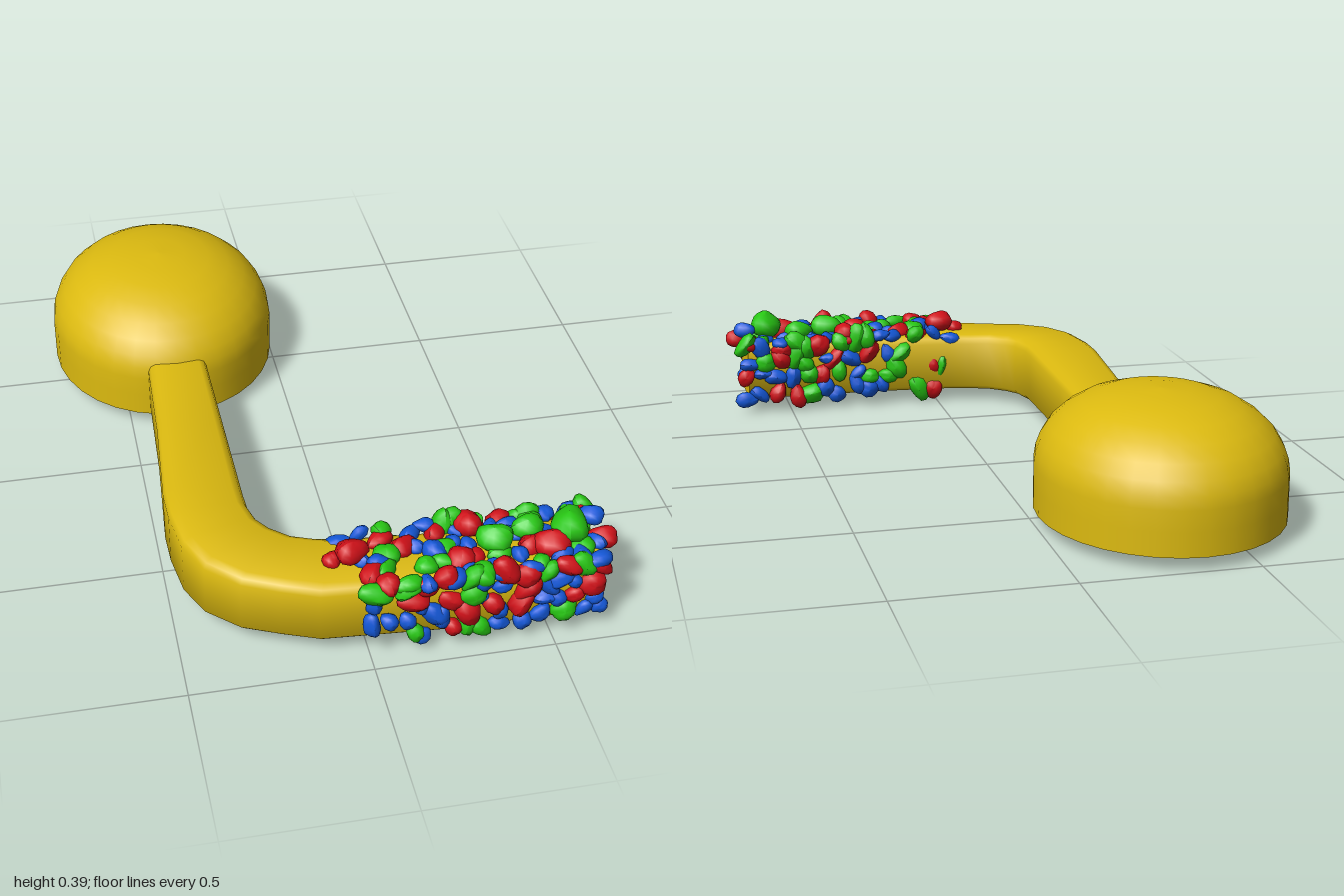
import * as THREE from 'three';
import { toCreasedNormals } from 'three/addons/utils/BufferGeometryUtils.js';

const material = (color, side = THREE.FrontSide) => new THREE.MeshStandardMaterial({ color, side });

// small seeded generator
let seed = 7;
const rand = () => (seed = (seed * 16807) % 2147483647) / 2147483647;
const range = (a, b) => a + (b - a) * rand();

// Arm stations: outer edge x, z then inner edge x, z, then top height
const STATIONS = [
  [-0.44, -0.22, -0.26, -0.22, 0.2], [-0.455, 0.1, -0.26, 0.1, 0.207],
  [-0.48, 0.42, -0.26, 0.46, 0.216], [-0.478, 0.52, -0.258, 0.52, 0.218],
  [-0.46, 0.65, -0.24, 0.59, 0.218], [-0.415, 0.75, -0.21, 0.63, 0.216],
  [-0.33, 0.83, -0.16, 0.67, 0.213], [-0.23, 0.875, -0.1, 0.69, 0.21],
  [-0.13, 0.915, -0.03, 0.705, 0.21], [0.2, 0.94, 0.2, 0.725, 0.21],
  [0.64, 0.945, 0.64, 0.735, 0.21],
];

// Rounded box section swept along the stations
function armGeometry() {
  const section = [[0.06, 0], [0, 0.07], [0, 0.86], [0.04, 0.95], [0.13, 1],
    [0.87, 1], [0.96, 0.95], [1, 0.86], [1, 0.07], [0.94, 0]];
  const n = section.length, pos = [], index = [];
  for (const [ox, oz, ix, iz, top] of STATIONS) {
    for (const [u, v] of section) {
      pos.push(ox + (ix - ox) * u, 0.025 + (top - 0.025) * v, oz + (iz - oz) * u);
    }
  }
  for (let s = 0; s < STATIONS.length - 1; s++) {
    for (let k = 0; k < n; k++) {
      const a = s * n + k, b = s * n + (k + 1) % n;
      index.push(a, a + n, b, b, a + n, b + n);
    }
  }
  const last = (STATIONS.length - 1) * n;
  for (let k = 1; k < n - 1; k++) {
    index.push(0, k, k + 1, last, last + k + 1, last + k);
  }
  const g = new THREE.BufferGeometry();
  g.setAttribute('position', new THREE.Float32BufferAttribute(pos, 3));
  g.setIndex(index);
  return toCreasedNormals(g, 0.9);
}

// Slightly lumpy pebble of radius 1
function pebbleGeometry(phase) {
  const g = new THREE.SphereGeometry(1, 12, 8);
  const p = g.attributes.position;
  for (let i = 0; i < p.count; i++) {
    const x = p.getX(i), y = p.getY(i), z = p.getZ(i);
    const k = 1 + 0.1 * Math.sin(3 * x + phase) + 0.08 * Math.cos(4 * z + 2 * y + phase);
    p.setXYZ(i, x * k, y * k, z * k);
  }
  g.computeVertexNormals();
  return g;
}

export function createModel() {
  const model = new THREE.Group();
  const gold = material(0xdcba10, THREE.DoubleSide);

  // Hollow oval dome, open underneath
  const profile = [[1, 0.02], [1, 0.09], [1, 0.15], [0.985, 0.185], [0.95, 0.22], [0.88, 0.26],
    [0.77, 0.297], [0.63, 0.328], [0.45, 0.351], [0.23, 0.364], [0, 0.368]];
  const dome = new THREE.Mesh(
    new THREE.LatheGeometry(profile.map(([r, y]) => new THREE.Vector2(r, y)), 32), gold);
  dome.name = 'dome';
  dome.scale.set(0.35, 1, 0.4);
  dome.position.set(-0.35, 0, -0.595);
  model.add(dome);

  // Bent arm
  const arm = new THREE.Mesh(armGeometry(), gold);
  arm.name = 'arm';
  model.add(arm);

  // Pebbles
  const pebbles = new THREE.Group();
  pebbles.name = 'pebbles';
  model.add(pebbles);
  const shapes = [0, 1.7, 3.9].map(pebbleGeometry);
  const colors = {
    red: material(0xd01018), green: material(0x28c814), blue: material(0x1458d8),
  };
  const up = new THREE.Vector3(0, 1, 0);
  function addPebble(color, x, y, z, normal, long, wide, thick) {
    const m = new THREE.Mesh(shapes[Math.floor(rand() * 3)], colors[color]);
    m.name = color + 'Pebble';
    m.position.set(x, y, z);
    m.scale.set(long, thick, wide);
    m.quaternion.setFromUnitVectors(up, normal);
    m.rotateY(range(0, Math.PI));
    m.rotateX(range(-0.25, 0.25));
    pebbles.add(m);
  }
  const pick = () => {
    const r = rand();
    return r < 0.42 ? 'blue' : r < 0.76 ? 'green' : 'red';
  };

  // Jittered rows over the front side, top and back side
  const faces = [
    { normal: new THREE.Vector3(0, 0, 1), start: 0, at: (t) => [0.045 + 0.165 * t, 0.945] },
    { normal: up, start: 0.0, at: (t) => [0.215, 0.745 + 0.185 * t] },
    { normal: new THREE.Vector3(0, 0, -1), start: -0.08, at: (t) => [0.045 + 0.165 * t, 0.725] },
  ];
  for (const { normal, start, at } of faces) {
    for (let x = start; x < 0.66; x += 0.052) {
      for (let row = 0; row < 4; row++) {
        if (x < 0.14 && rand() < 0.4) continue;
        const [y, z] = at((row + range(-0.3, 0.3)) / 3);
        const color = pick();
        const size = (color === 'blue' ? 0.03 : 0.036) * range(0.85, 1.2);
        addPebble(color, Math.min(x + range(-0.02, 0.02), 0.65), y, z, normal,
          size * 1.15, size * range(0.65, 0.9), size * range(0.6, 0.8));
      }
    }
  }

  // Larger pebbles heaped on top
  const heap = [['red', -0.025, 0.24, 0.81, 0.045], ['green', 0.57, 0.255, 0.83, 0.06],
    ['red', 0.51, 0.228, 0.87, 0.052], ['green', 0.36, 0.24, 0.83, 0.05],
    ['red', 0.31, 0.23, 0.75, 0.045], ['green', 0.46, 0.235, 0.8, 0.045],
    ['blue', 0.64, 0.25, 0.8, 0.035], ['blue', 0.2, 0.215, 0.83, 0.04],
    ['red', 0.12, 0.215, 0.79, 0.04], ['red', 0.66, 0.21, 0.85, 0.04],
    ['blue', 0.04, 0.22, 0.85, 0.033], ['red', -0.08, 0.215, 0.81, 0.03]];
  for (const [color, x, y, z, r] of heap) addPebble(color, x, y, z, up, r, r * 0.85, r * 0.75);

  return model;
}
